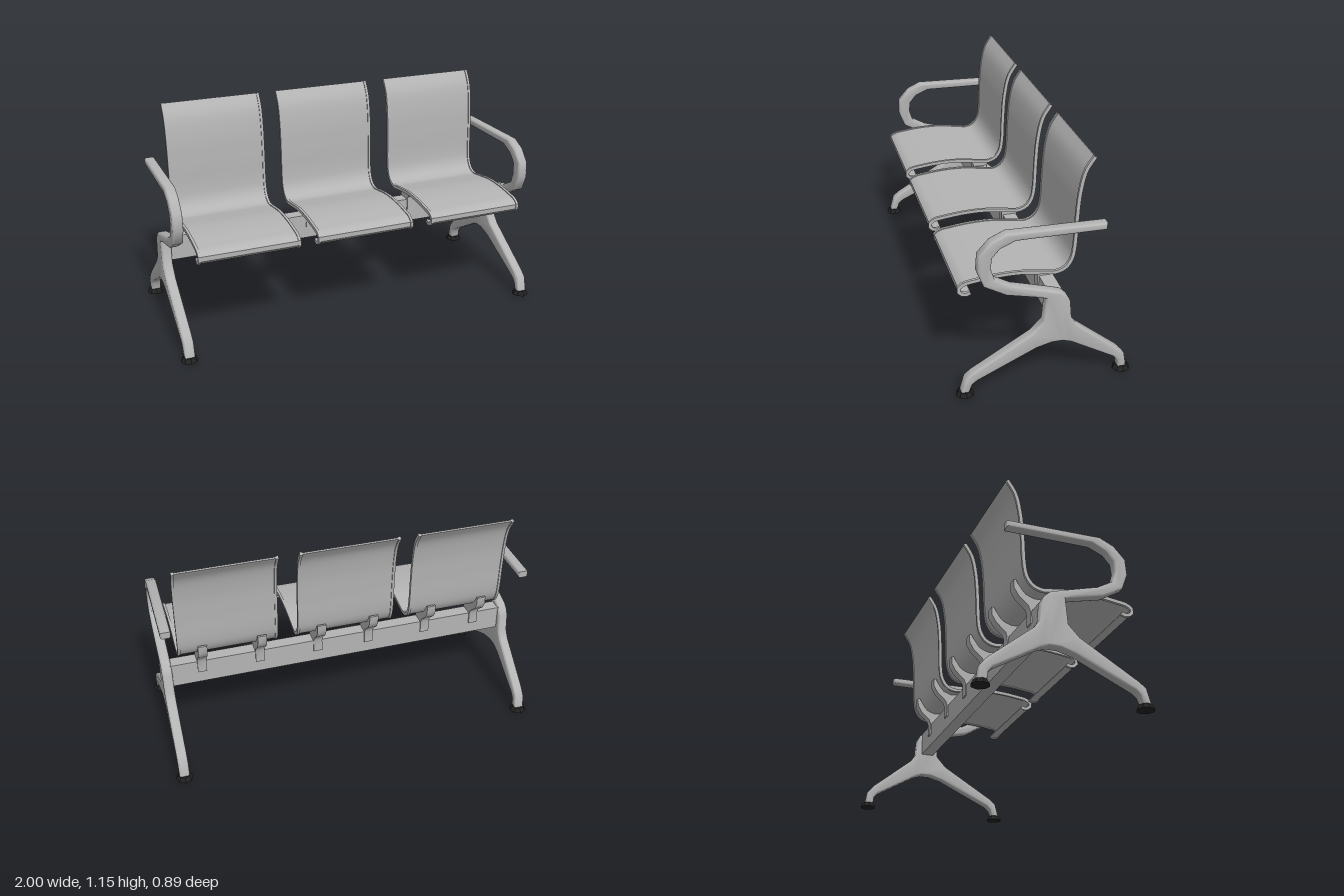
import * as THREE from 'three';
import { toCreasedNormals } from 'three/addons/utils/BufferGeometryUtils.js';

const metal = new THREE.MeshStandardMaterial({ color: 0xb4b4b4 });
metal.name = 'greyMetal';
const rubber = new THREE.MeshStandardMaterial({ color: 0x222222 });
rubber.name = 'blackRubber';

function mesh(name, geometry, material, parent) {
  const m = new THREE.Mesh(geometry, material);
  m.name = name;
  parent.add(m);
  return m;
}

// Extrudes a side profile of [z, y] points along x, centred on x = 0
function sideExtrude(points, width, bevel = 0, crease = 0.6) {
  const shape = new THREE.Shape(points.map(([z, y]) => new THREE.Vector2(z, y)));
  const geometry = new THREE.ExtrudeGeometry(shape, {
    depth: width - 2 * bevel,
    bevelEnabled: bevel > 0,
    bevelSize: bevel,
    bevelThickness: bevel,
    bevelOffset: -bevel,
    bevelSegments: 3,
  });
  geometry.translate(0, 0, -width / 2 + bevel);
  geometry.rotateY(-Math.PI / 2);
  return toCreasedNormals(geometry, crease);
}

// Outline of a strip of even thickness that follows a smooth curve
function ribbon(points, thickness, steps) {
  const curve = new THREE.CatmullRomCurve3(points.map(([z, y]) => new THREE.Vector3(z, y, 0)));
  const upper = [], lower = [];
  for (let i = 0; i <= steps; i++) {
    const p = curve.getPointAt(i / steps), t = curve.getTangentAt(i / steps);
    const h = thickness / 2;
    upper.push([p.x - t.y * h, p.y + t.x * h]);
    lower.push([p.x + t.y * h, p.y - t.x * h]);
  }
  return upper.concat(lower.reverse());
}

// Backrest top, down through the seat, to the rolled front lip
const seatCurve = [
  [-0.233, 1.147], [-0.192, 1.08], [-0.168, 0.97], [-0.158, 0.835], [-0.152, 0.69],
  [-0.141, 0.63], [-0.112, 0.587], [-0.065, 0.569], [-0.01, 0.576], [0.11, 0.593],
  [0.22, 0.594], [0.325, 0.584], [0.386, 0.573], [0.409, 0.55], [0.398, 0.526],
  [0.373, 0.517], [0.35, 0.524],
];

// One-piece leg and looped armrest
const frameOutline = [
  [0.422, 0.02], [0.4, 0.1], [0.367, 0.127], [0.075, 0.3], [0.02, 0.358], [0.01, 0.486],
  [0.044, 0.498], [0.203, 0.538], [0.31, 0.6], [0.34, 0.68], [0.334, 0.764], [0.276, 0.828],
  [0.203, 0.861], [-0.276, 0.849], [-0.276, 0.813], [0.16, 0.819], [0.233, 0.788],
  [0.27, 0.745], [0.276, 0.69], [0.258, 0.63], [0.178, 0.584], [-0.01, 0.529],
  [-0.066, 0.511], [-0.096, 0.483], [-0.111, 0.453], [-0.12, 0.358], [-0.148, 0.316],
  [-0.37, 0.133], [-0.404, 0.093], [-0.416, 0.02], [-0.373, 0.02], [-0.367, 0.0625],
  [-0.346, 0.087], [-0.123, 0.218], [-0.078, 0.233], [-0.023, 0.233], [0.05, 0.215],
  [0.343, 0.081], [0.367, 0.0625], [0.383, 0.02],
];

// Clip around the beam with a hooked arm behind the seat
const bracketOutline = [
  [-0.006, 0.43], [-0.006, 0.512], [0.055, 0.562], [0.055, 0.578], [-0.01, 0.569],
  [-0.065, 0.563], [-0.112, 0.58], [-0.147, 0.625], [-0.16, 0.65], [-0.172, 0.65],
  [-0.17, 0.605], [-0.148, 0.567], [-0.098, 0.522], [-0.09, 0.5], [-0.09, 0.43],
];

export function createModel() {
  const bench = new THREE.Group();
  bench.name = 'threeSeatBench';

  // Seats: thin panel between two thicker rails
  const panelGeometry = sideExtrude(ribbon(seatCurve, 0.009, 56), 0.505);
  const railGeometry = sideExtrude(ribbon(seatCurve, 0.018, 56), 0.014);
  for (const x of [-0.621, -0.002, 0.63]) {
    const seat = new THREE.Group();
    seat.name = 'seat';
    seat.position.x = x;
    bench.add(seat);
    mesh('seatPanel', panelGeometry, metal, seat);
    for (const s of [-1, 1]) mesh('seatRail', railGeometry, metal, seat).position.x = s * 0.256;
  }

  // Beam and seat brackets
  mesh('beam', new THREE.BoxGeometry(1.87, 0.132, 0.07), metal, bench).position.set(0, 0.43, -0.048);
  const bracketGeometry = sideExtrude(bracketOutline, 0.048);
  for (const x of [-0.775, -0.483, -0.155, 0.134, 0.455, 0.768]) {
    mesh('seatBracket', bracketGeometry, metal, bench).position.x = x;
  }

  // Side frames with rubber feet
  const frameGeometry = sideExtrude(frameOutline, 0.054, 0.011, 0.75);
  const footGeometry = toCreasedNormals(new THREE.CylinderGeometry(0.032, 0.045, 0.024, 8), 0.3);
  for (const s of [1, -1]) {
    const side = new THREE.Group();
    side.name = s > 0 ? 'leftSide' : 'rightSide';
    side.position.x = s * 0.955;
    bench.add(side);
    mesh('legAndArmrest', frameGeometry, metal, side);
    for (const z of [0.4, -0.397]) mesh('foot', footGeometry, rubber, side).position.set(0, 0.012, z);
  }
  return bench;
}
